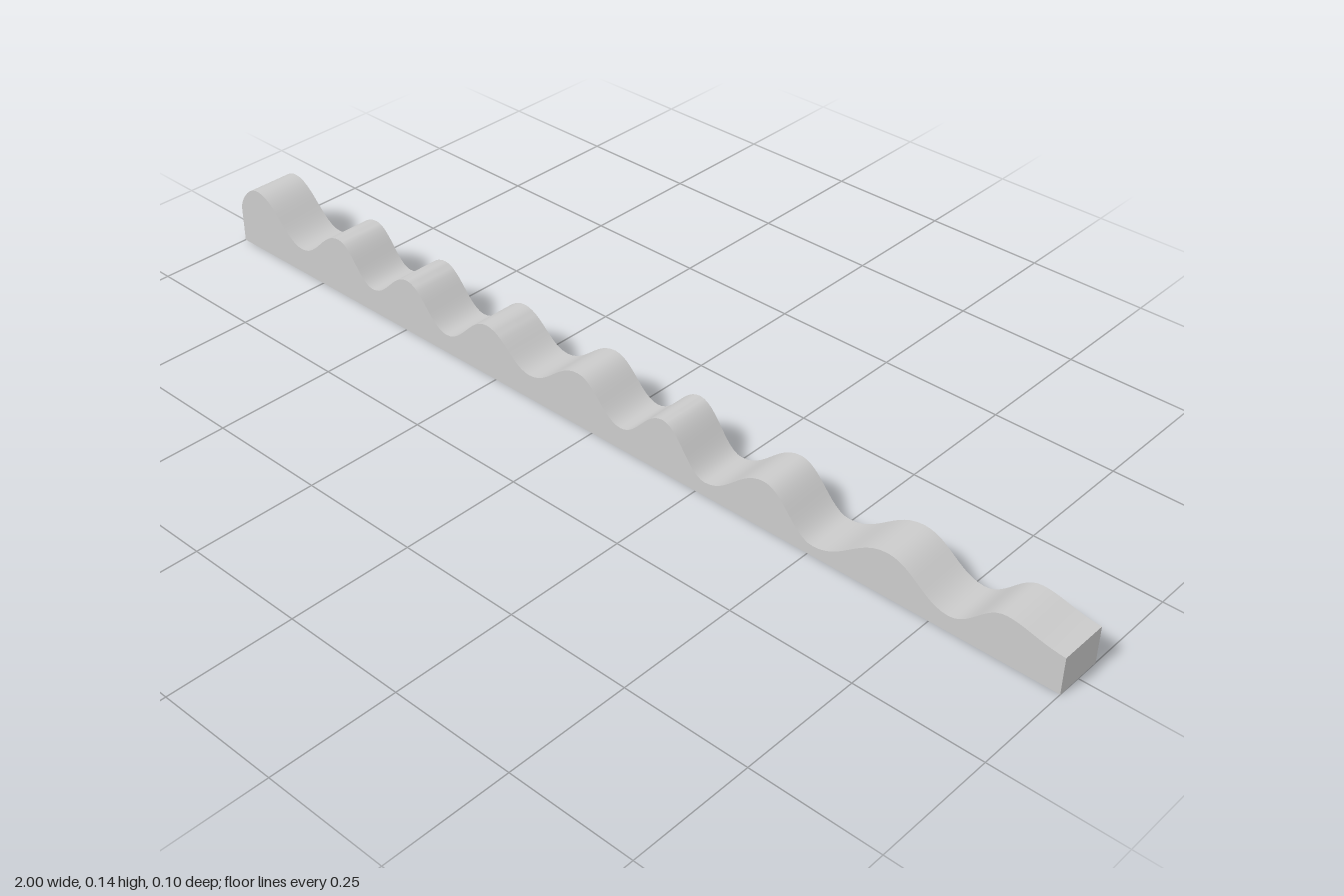
import * as THREE from 'three';
import { toCreasedNormals } from 'three/addons/utils/BufferGeometryUtils.js';

// Alternating crests and troughs of the wavy top edge, left to right
const waves = [
  [-0.94, 0.137], [-0.81, 0.055], [-0.69, 0.126], [-0.595, 0.052],
  [-0.49, 0.116], [-0.385, 0.04], [-0.27, 0.112], [-0.16, 0.052],
  [-0.035, 0.115], [0.07, 0.046], [0.17, 0.113], [0.27, 0.029],
  [0.4, 0.099], [0.51, 0.021], [0.66, 0.09], [0.785, 0.032], [0.89, 0.094],
];
const DEPTH = 0.1;

export function createModel() {
  const group = new THREE.Group();
  group.name = 'wavyStrip';

  // Profile: flat base, upright ends, level tangent at each crest and trough
  const shape = new THREE.Shape();
  shape.moveTo(1, 0);
  shape.lineTo(-1, 0);
  shape.lineTo(-1, 0.08);
  shape.bezierCurveTo(-0.992, 0.108, -0.967, 0.137, ...waves[0]);
  for (let i = 1; i < waves.length; i++) {
    const [x0, y0] = waves[i - 1];
    const [x1, y1] = waves[i];
    const handle = (x1 - x0) * 0.4;
    shape.bezierCurveTo(x0 + handle, y0, x1 - handle, y1, x1, y1);
  }
  shape.bezierCurveTo(0.925, 0.094, 0.95, 0.078, 1, 0.075);
  shape.closePath();

  // Extruded bar with a smooth top and sharp side edges
  const geometry = new THREE.ExtrudeGeometry(shape, {
    depth: DEPTH, bevelEnabled: false, curveSegments: 12,
  });
  geometry.translate(0, 0, -DEPTH / 2);
  const bar = new THREE.Mesh(
    toCreasedNormals(geometry, 0.6),
    new THREE.MeshStandardMaterial({ color: 0xcccccc }),
  );
  bar.name = 'wavyBar';
  group.add(bar);
  return group;
}
